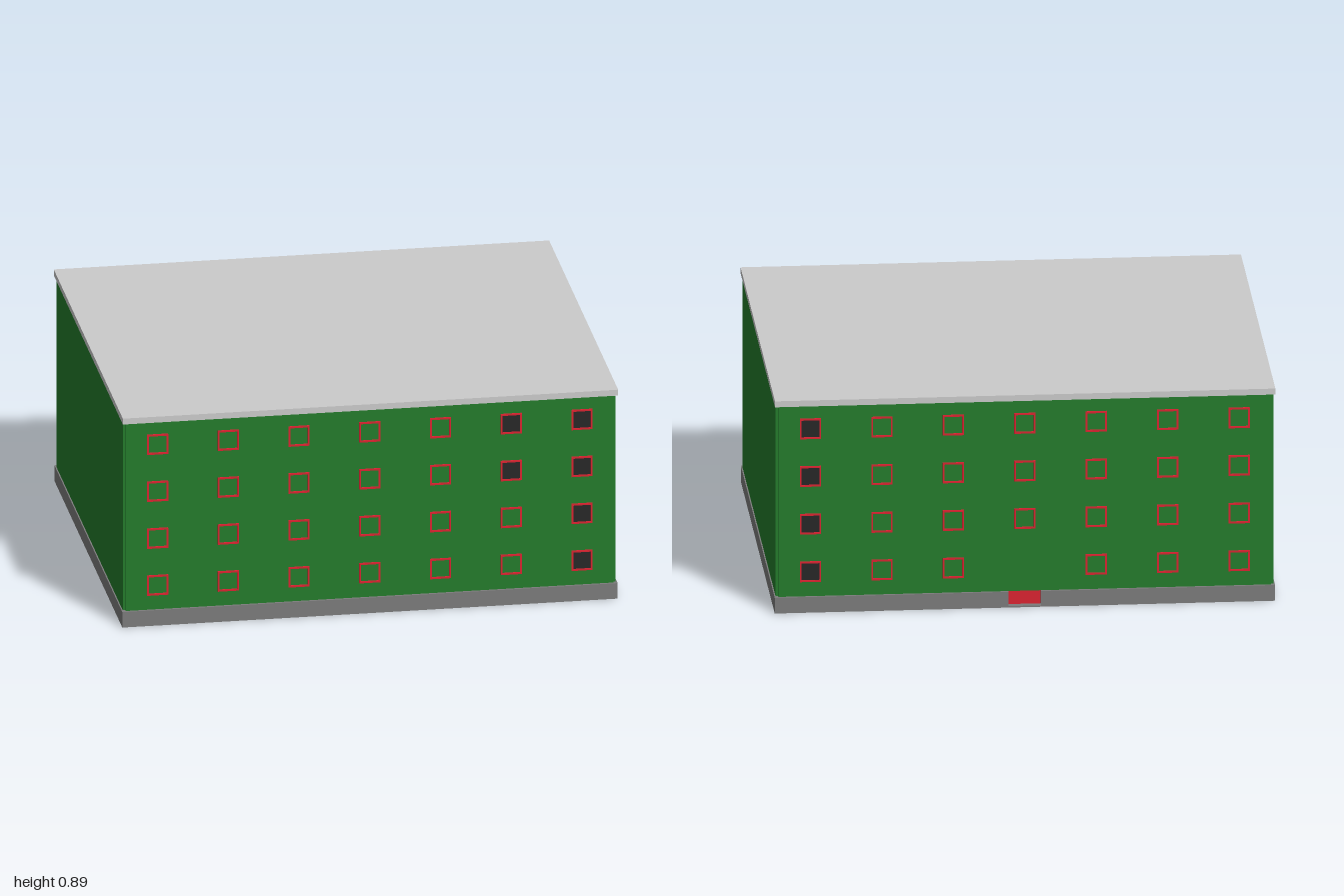
import * as THREE from 'three';

const mat = (color) => new THREE.MeshStandardMaterial({ color });
const grey = mat(0xcccccc), plinthGrey = mat(0x7c7c7c), green = mat(0x237c2b);
const red = mat(0xdc2230), dark = mat(0x262626);

function add(parent, name, geometry, material, x = 0, y = 0, z = 0) {
  const mesh = new THREE.Mesh(geometry, material);
  mesh.name = name;
  mesh.position.set(x, y, z);
  parent.add(mesh);
  return mesh;
}

const box = (w, h, d) => new THREE.BoxGeometry(w, h, d);

// Square window frame with an open middle
function frameGeometry(size, bar, depth) {
  const s = size / 2, i = s - bar;
  const shape = new THREE.Shape([[-s, -s], [s, -s], [s, s], [-s, s]].map((p) => new THREE.Vector2(...p)));
  shape.holes.push(new THREE.Path([[-i, -i], [-i, i], [i, i], [i, -i]].map((p) => new THREE.Vector2(...p))));
  return new THREE.ExtrudeGeometry(shape, { depth, bevelEnabled: false });
}

// Plinth outline seen from above, notched at the back for the entrance
function plinthGeometry(w, d, h, notchHalf, notchDepth) {
  const pts = [[-w, -d], [w, -d], [w, d], [notchHalf, d], [notchHalf, d - notchDepth],
    [-notchHalf, d - notchDepth], [-notchHalf, d], [-w, d]];
  const shape = new THREE.Shape(pts.map((p) => new THREE.Vector2(...p)));
  return new THREE.ExtrudeGeometry(shape, { depth: h, bevelEnabled: false }).rotateX(-Math.PI / 2);
}

export function createModel() {
  const building = new THREE.Group();
  building.name = 'apartmentBuilding';

  // Plinth, walls and overhanging roof slab
  add(building, 'plinth', plinthGeometry(1, 0.835, 0.066, 0.065, 0.03), plinthGrey);
  add(building, 'endWalls', box(1.99, 0.804, 1.63), green, 0, 0.468);
  add(building, 'roofSlab', box(2, 0.025, 1.695), grey, 0, 0.8825);

  // Entrance set into the back of the plinth
  add(building, 'entranceDoor', box(0.13, 0.06, 0.004), red, 0, 0.034, -0.807);
  add(building, 'entranceStep', box(0.13, 0.006, 0.03), plinthGrey, 0, 0.003, -0.82);

  // Long facades: a raised wall panel with a 7 x 4 grid of windows
  const frame = frameGeometry(0.085, 0.007, 0.008);
  const pane = box(0.074, 0.074, 0.004);
  for (const side of ['front', 'back']) {
    const facade = new THREE.Group();
    facade.name = side + 'Facade';
    if (side === 'back') facade.rotation.y = Math.PI;
    building.add(facade);
    add(facade, 'facadePanel', box(1.97, 0.804, 0.012), green, 0, 0.468, 0.819);

    for (let col = -3; col <= 3; col++) {
      for (let row = 0; row < 4; row++) {
        if (side === 'back' && row === 0 && col === 0) continue; // space above the entrance
        const x = col * 0.2855, y = 0.17 + row * 0.2;
        add(facade, 'windowFrame', frame, red, x, y, 0.824);
        // Dark panes stand out only towards the building's left end
        const open = side === 'front' ? col === 3 || (col === 2 && row > 1) : col === -3;
        if (open) add(facade, 'windowPane', pane, dark, x, y, 0.825);
      }
    }
  }
  return building;
}
